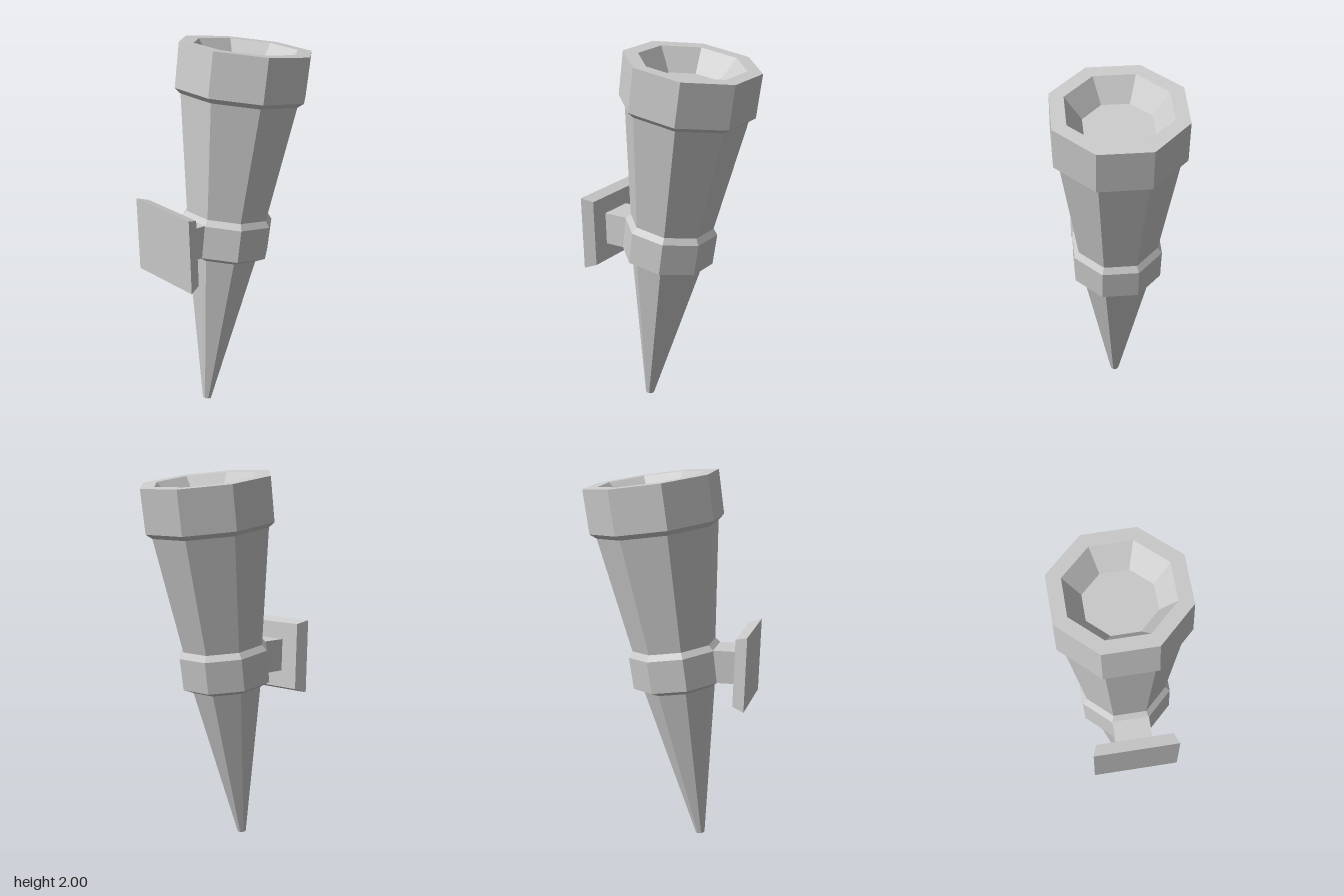
import * as THREE from 'three';

const material = new THREE.MeshStandardMaterial({ color: 0xcccccc, flatShading: true });
const SIDES = 8;

function addMesh(parent, name, geometry) {
  const mesh = new THREE.Mesh(geometry, material);
  mesh.name = name;
  parent.add(mesh);
  return mesh;
}

// Octagonal solid from [distance from axis to flat, height] pairs, flats facing the axes
function octagon(profile) {
  const points = profile.map(([flat, y]) => new THREE.Vector2(flat / Math.cos(Math.PI / SIDES), y));
  return new THREE.LatheGeometry(points, SIDES, Math.PI / SIDES);
}

export function createModel() {
  const model = new THREE.Group();
  model.name = 'wallTorch';
  model.rotation.y = 0.02;

  // Tilted torch, built upwards from its tip
  const torch = new THREE.Group();
  torch.name = 'torch';
  torch.position.set(-0.164, 0.003, 0);
  torch.rotation.z = -0.14;
  model.add(torch);

  addMesh(torch, 'lowerSpike', octagon([[0, 0], [0.022, 0], [0.18, 0.845]]));
  addMesh(torch, 'collar', octagon([[0.18, 0.845], [0.23, 0.872], [0.233, 1.045], [0.21, 1.077]]));
  addMesh(torch, 'upperShaft', octagon([[0.21, 1.077], [0.302, 1.703]]));
  // Rim with the sunken bowl inside
  addMesh(torch, 'rimAndBowl', octagon([
    [0.302, 1.703], [0.333, 1.73], [0.335, 1.967], [0.262, 1.967], [0.176, 1.85], [0, 1.85],
  ]));

  // Wall bracket: short arm and bevelled square plate
  const arm = addMesh(model, 'bracketArm', new THREE.BoxGeometry(0.22, 0.175, 0.195));
  arm.position.set(-0.28, 0.986, 0);

  const plateGeometry = new THREE.CylinderGeometry(0.9, 1, 0.064, 4)
    .rotateY(Math.PI / 4)
    .scale(0.2 * Math.SQRT2, 1, 0.225 * Math.SQRT2)
    .rotateZ(-Math.PI / 2);
  const plate = addMesh(model, 'wallPlate', plateGeometry);
  plate.position.set(-0.411, 0.985, 0);
  plate.rotation.z = 0.035;

  return model;
}
